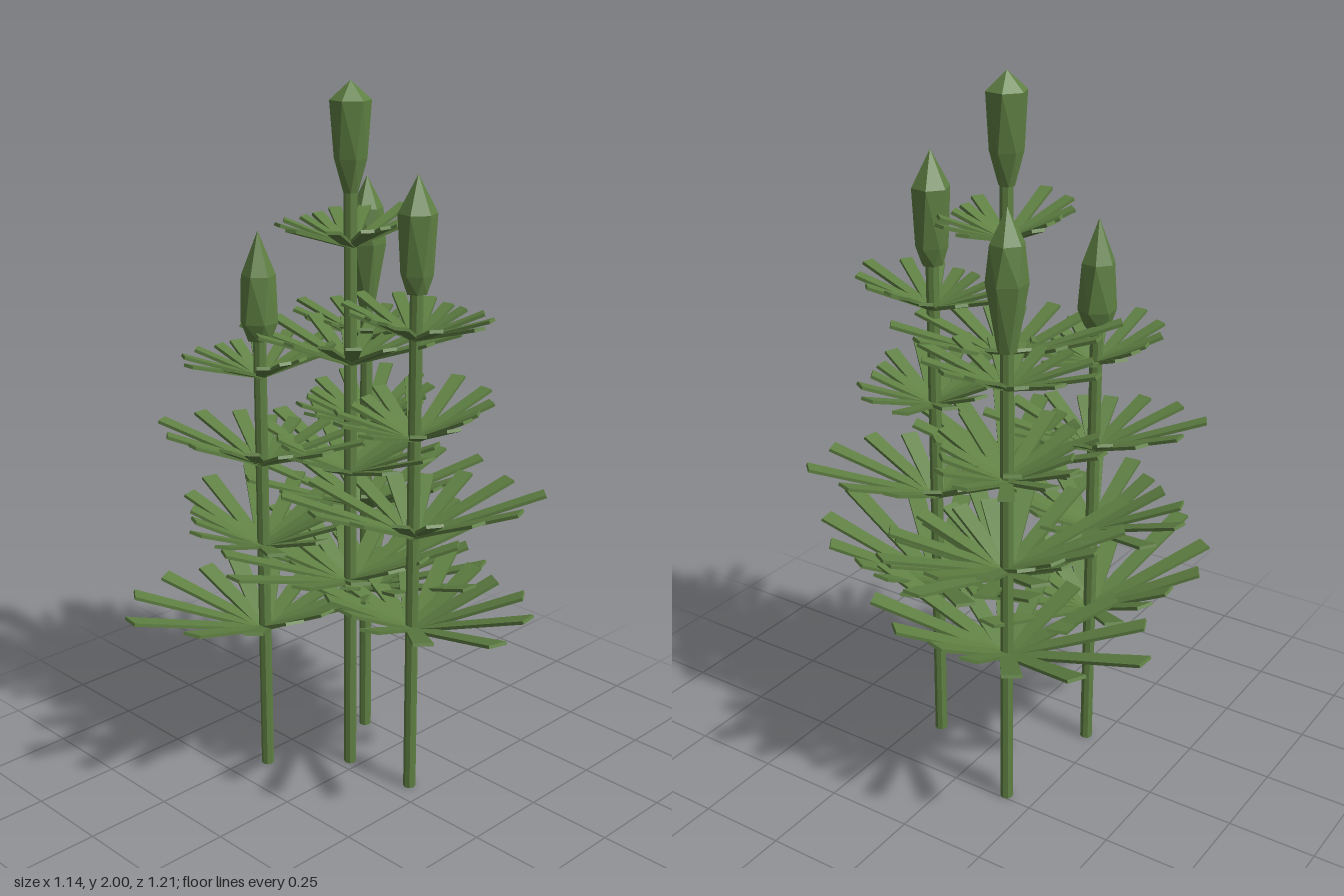
import * as THREE from 'three';
import { toCreasedNormals } from 'three/addons/utils/BufferGeometryUtils.js';

const green = new THREE.MeshStandardMaterial({ color: 0x5f8043 });
green.name = 'stalkGreen';

// Whorl tiers, lowest first: longest reach, rise at the tip, blade width
const TIERS = [
  { reach: 0.435, rise: 0.14, width: 0.054 },
  { reach: 0.36, rise: 0.125, width: 0.048 },
  { reach: 0.305, rise: 0.1, width: 0.042 },
  { reach: 0.25, rise: 0.08, width: 0.036 },
];
const BLADES = 14;
const TIER_TURN = -63; // degrees from one whorl's long axis to the next

// Each stalk: foot position, long axis of the lowest whorl (degrees, from +x
// towards +z), whorl heights and bud profile [radius, y]
const STALKS = [
  {
    name: 'tallStalk', x: 0.04, z: -0.035, axis: 1, whorls: [0.59, 0.92, 1.24, 1.565],
    bud: [[0.022, 1.71], [0.045, 1.8], [0.056, 1.95], [0, 2]],
  },
  {
    name: 'frontStalk', x: 0.065, z: 0.185, axis: 107, whorls: [0.505, 0.785, 1.066, 1.345],
    bud: [[0.03, 1.47], [0.044, 1.52], [0.053, 1.68], [0, 1.78]],
  },
  {
    name: 'leftStalk', x: 0.235, z: -0.165, axis: -87, whorls: [0.47, 0.73, 0.99, 1.25],
    bud: [[0.026, 1.35], [0.055, 1.53], [0.046, 1.63], [0, 1.72]],
  },
  {
    name: 'rightStalk', x: -0.14, z: -0.205, axis: 189, whorls: [0.445, 0.7, 0.95, 1.205],
    bud: [[0.035, 1.31], [0.053, 1.36], [0.047, 1.49], [0, 1.61]],
  },
];

function part(name, geometry) {
  const mesh = new THREE.Mesh(geometry, green);
  mesh.name = name;
  return mesh;
}

// Flat blade along +x, a little narrower at its root
function bladeGeometry(length, width) {
  const g = new THREE.BoxGeometry(length, 0.009, width);
  g.translate(length / 2, 0, 0);
  const p = g.attributes.position;
  for (let i = 0; i < p.count; i++) {
    if (p.getX(i) < 0.001) p.setZ(i, p.getZ(i) * 0.75);
  }
  g.computeVertexNormals();
  return g;
}

// Ring of rising blades, longest at both ends of its axis and shortest across it
function whorl(tier, axis) {
  const group = new THREE.Group();
  group.name = 'whorl';
  for (let i = 0; i < BLADES; i++) {
    const half = i % (BLADES / 2);
    const steps = Math.min(half, BLADES / 2 - half);
    const reach = tier.reach * (1 - 0.145 * steps);
    const rise = tier.rise * (1 - 0.04 * steps);
    const blade = part('blade', bladeGeometry(Math.hypot(reach, rise), tier.width));
    blade.rotation.order = 'YXZ';
    blade.rotation.y = -THREE.MathUtils.degToRad(axis + (i * 360) / BLADES);
    blade.rotation.z = Math.atan2(rise, reach);
    group.add(blade);
  }
  return group;
}

// Faceted bud, each ring twisted against the one below
function budGeometry(profile) {
  const points = [[0, profile[0][1]], ...profile].map(([r, y]) => new THREE.Vector2(r, y));
  const g = new THREE.LatheGeometry(points, 6);
  const p = g.attributes.position;
  const rows = points.length;
  for (let i = 0; i < p.count; i++) {
    const a = (i % rows) * 0.3;
    const x = p.getX(i), z = p.getZ(i);
    p.setX(i, x * Math.cos(a) + z * Math.sin(a));
    p.setZ(i, z * Math.cos(a) - x * Math.sin(a));
  }
  return toCreasedNormals(g, 0.05);
}

export function createModel() {
  const model = new THREE.Group();
  model.name = 'horsetailClump';
  for (const s of STALKS) {
    const stalk = new THREE.Group();
    stalk.name = s.name;
    stalk.position.set(s.x, 0, s.z);

    // Stem
    const height = s.bud[0][1] + 0.02;
    const stem = toCreasedNormals(new THREE.CylinderGeometry(0.018, 0.018, height, 8), 0.05);
    stem.translate(0, height / 2, 0);
    stalk.add(part('stem', stem));

    // Blade whorls
    s.whorls.forEach((y, t) => {
      const ring = whorl(TIERS[t], s.axis + t * TIER_TURN);
      ring.position.y = y;
      stalk.add(ring);
    });

    // Bud
    stalk.add(part('bud', budGeometry(s.bud)));
    model.add(stalk);
  }
  return model;
}
